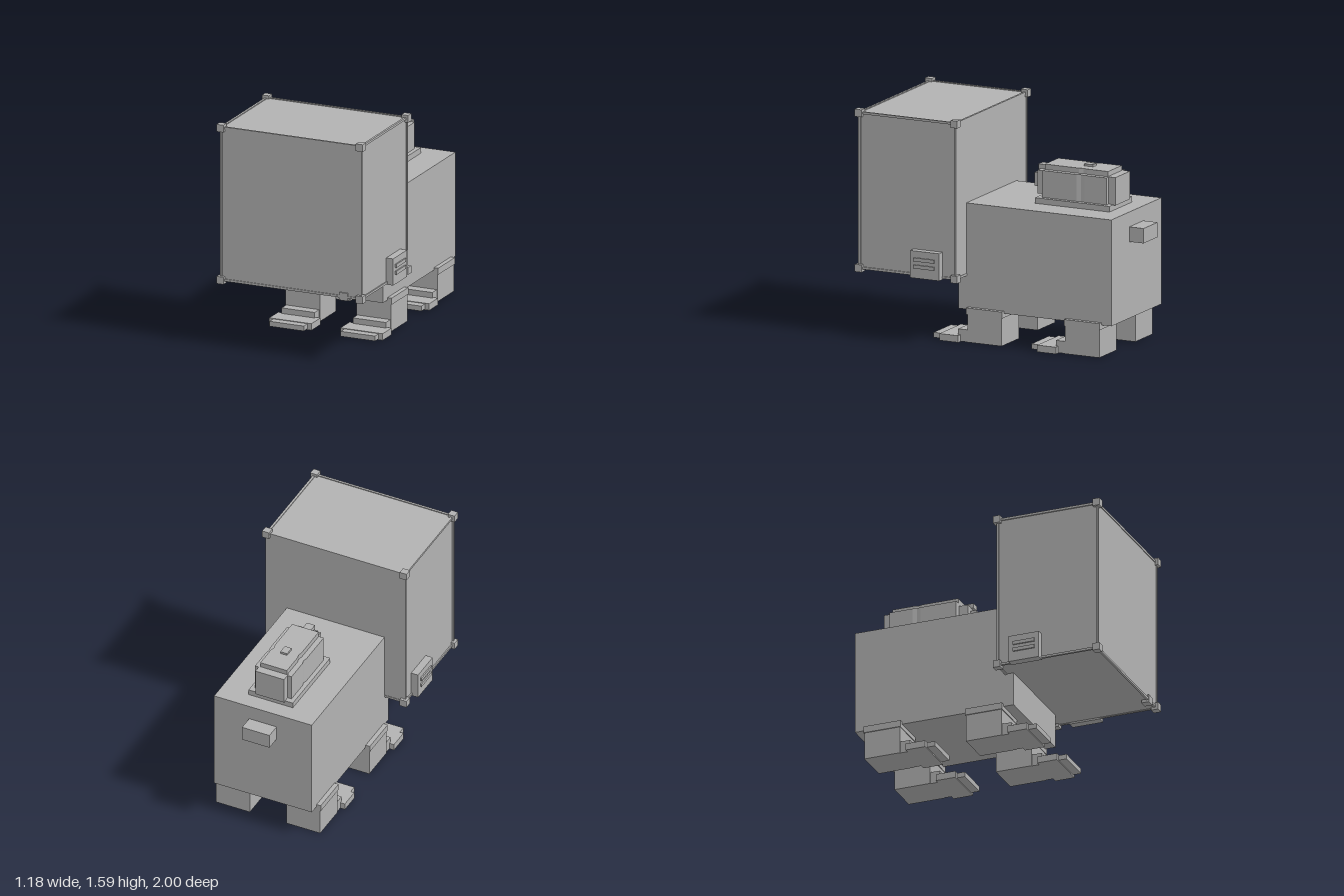
import * as THREE from 'three';

const grey = new THREE.MeshStandardMaterial({ color: 0xb2b2b2 });
grey.name = 'plain grey';

export function createModel() {
  const model = new THREE.Group();
  model.name = 'blockyAnimal';

  // Box given by its limits on each axis
  function box(parent, name, x0, x1, y0, y1, z0, z1) {
    const mesh = new THREE.Mesh(new THREE.BoxGeometry(x1 - x0, y1 - y0, z1 - z0), grey);
    mesh.position.set((x0 + x1) / 2, (y0 + y1) / 2, (z0 + z1) / 2);
    mesh.name = name;
    parent.add(mesh);
    return mesh;
  }
  function group(name) {
    const g = new THREE.Group();
    g.name = name;
    model.add(g);
    return g;
  }
  // Block with a shallow V groove down both sides
  function groovedBlock(parent, name, halfWidth, y0, y1, z0, z1, grooveZ) {
    const w = halfWidth, d = 0.008, g = 0.03;
    const points = [[w, z0], [w, grooveZ - g], [w - d, grooveZ], [w, grooveZ + g], [w, z1],
      [-w, z1], [-w, grooveZ + g], [-w + d, grooveZ], [-w, grooveZ - g], [-w, z0]];
    const shape = new THREE.Shape(points.map(([x, z]) => new THREE.Vector2(x, -z)));
    const geometry = new THREE.ExtrudeGeometry(shape, { depth: y1 - y0, bevelEnabled: false });
    geometry.rotateX(-Math.PI / 2);
    const mesh = new THREE.Mesh(geometry, grey);
    mesh.position.y = y0;
    mesh.name = name;
    parent.add(mesh);
  }

  // Body and tail
  box(model, 'body', -0.375, 0.375, 0.23, 0.98, -0.89, 0.29);
  box(model, 'tail', -0.105, 0.105, 0.77, 0.875, -1, -0.88);

  // Head with edge bars and corner cubes
  const head = group('head');
  box(head, 'headBlock', -0.527, 0.527, 0.472, 1.572, 0.23, 0.977);
  const X = [-0.528, 0.528], Y = [0.475, 1.57], Z = [0.235, 0.975], r = 0.008, c = 0.026;
  for (const y of Y) for (const z of Z) box(head, 'edgeBarAcross', X[0], X[1], y - r, y + r, z - r, z + r);
  for (const x of X) for (const z of Z) box(head, 'edgeBarUpright', x - r, x + r, Y[0], Y[1], z - r, z + r);
  for (const x of X) for (const y of Y) box(head, 'edgeBarDeep', x - r, x + r, y - r, y + r, Z[0], Z[1]);
  for (const x of X) for (const y of Y) for (const z of Z) {
    box(head, 'cornerCube', x - c, x + c, y - c, y + c, z - c, z + c);
  }
  box(head, 'chinBlock', 0.37, 0.432, 0.45, 0.505, 0.93, 0.987);

  // Side panels with two raised slats
  for (const s of [-1, 1]) {
    const panel = group(s > 0 ? 'leftPanel' : 'rightPanel');
    const side = (name, a, b, ...rest) => box(panel, name, Math.min(s * a, s * b), Math.max(s * a, s * b), ...rest);
    side('panelPlate', 0.52, 0.58, 0.46, 0.652, 0.335, 0.56);
    for (const y of [0.53, 0.58]) side('panelSlat', 0.575, 0.59, y, y + 0.025, 0.37, 0.53);
  }

  // Legs: cuff, shank, instep, foot, toe
  for (const s of [-1, 1]) {
    for (const z of [0.21, -0.545]) {
      const leg = group((z > 0 ? 'front' : 'back') + (s > 0 ? 'Left' : 'Right') + 'Leg');
      leg.position.set(s * 0.27, 0, z);
      box(leg, 'cuff', -0.137, 0.137, 0.2, 0.247, -0.27, 0.005);
      box(leg, 'shank', -0.13, 0.13, 0.004, 0.22, -0.265, 0);
      box(leg, 'instep', -0.125, 0.125, 0.004, 0.09, -0.02, 0.073);
      box(leg, 'foot', -0.16, 0.16, 0.002, 0.05, 0.055, 0.2);
      box(leg, 'toe', -0.13, 0.13, 0.01, 0.046, 0.19, 0.26);
    }
  }

  // Device on the back
  const device = group('backDevice');
  box(device, 'base', -0.17, 0.17, 0.97, 1.02, -0.77, -0.195);
  groovedBlock(device, 'housing', 0.14, 1.015, 1.21, -0.73, -0.235, -0.53);
  groovedBlock(device, 'lid', 0.102, 1.205, 1.247, -0.725, -0.235, -0.53);
  box(device, 'rearBlock', -0.11, 0.11, 1.015, 1.212, -0.785, -0.72);
  box(device, 'button', -0.026, 0.026, 1.24, 1.262, -0.57, -0.5);
  box(device, 'frontBlock', -0.085, 0.085, 1.03, 1.195, -0.24, -0.17);
  box(device, 'nozzle', -0.042, 0.042, 1.07, 1.165, -0.18, -0.125);
  box(device, 'catch', -0.031, 0.031, 1.19, 1.225, -0.21, -0.15);

  return model;
}
